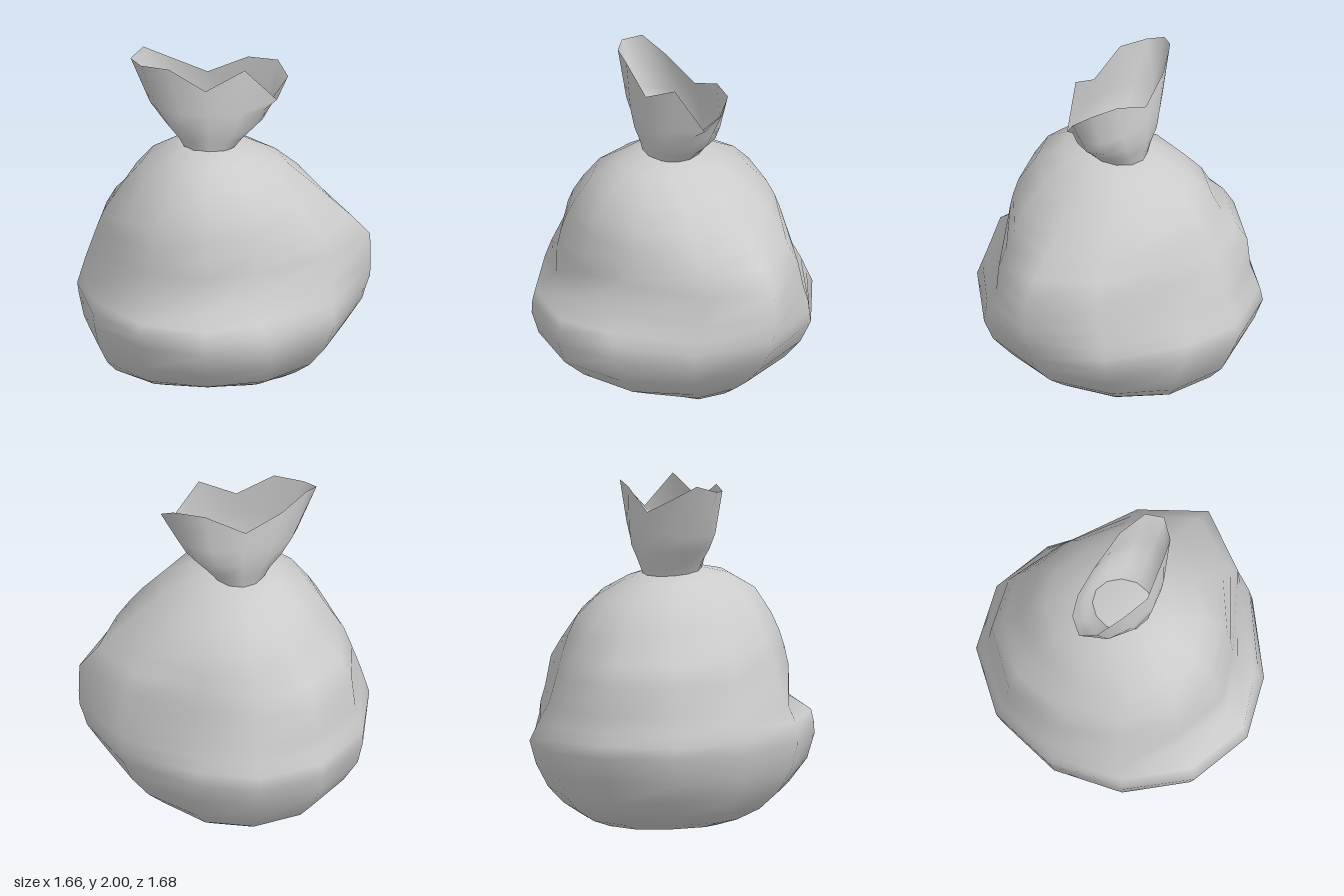
import * as THREE from 'three';

const SIDES = 12;

// Local swells and creases of the cloth: angle (from +x towards +z), spread, y, height, amount
const FOLDS = [
  [135, 38, 0.08, 0.15, 0.14], // heavy low front corner, right
  [45, 35, 0.10, 0.12, 0.08], // heavy low front corner, left
  [45, 30, 0.75, 0.20, -0.03], // slack front side, left
  [110, 16, 0.73, 0.05, -0.10], // crease above the front bulge
  [155, 18, 0.73, 0.06, 0.035], // end of that crease
  [135, 33, 1.34, 0.12, 0.06], // full front shoulder
  [135, 33, 1.09, 0.13, 0.055], // full front side, right
  [225, 30, 0.91, 0.13, 0.10], // roll at the back
  [225, 30, 0.40, 0.20, 0.025], // full low back corner
  [225, 30, 1.13, 0.06, -0.05], // crease above the roll
  [315, 30, 1.10, 0.20, -0.05], // slack back side
  [315, 30, 1.38, 0.10, -0.06], // slack back shoulder
];

function foldScale(deg, y) {
  let f = 1;
  for (const [a, spread, h, height, amount] of FOLDS) {
    f += amount * Math.exp(-(((deg - a) / spread) ** 2) - ((y - h) / height) ** 2);
  }
  return f;
}

// Ring with separate reach to -x, +x, +z and -z; point > 1 sharpens the +x side.
function ring(y, left, right, front, back, cx, point = 1, tilt = 0, scale = () => 1) {
  const pts = [];
  for (let j = 0; j < SIDES; j++) {
    const deg = (j / SIDES) * 360;
    const a = THREE.MathUtils.degToRad(deg);
    const c = Math.cos(a), s = Math.sin(a);
    const f = scale(deg, y);
    const dx = c > 0 ? (right - cx) * Math.pow(c, point) : (cx - left) * c;
    const z = s > 0 ? front * s : -back * s;
    pts.push([cx + dx * f, y + tilt * s, z * f]);
  }
  return pts;
}

// Skin a stack of rings from bottom to top, with optional end caps.
function loft(rings, capBottom, capTop) {
  const pos = rings.flat(2);
  const idx = [];
  for (let i = 0; i < rings.length - 1; i++) {
    for (let j = 0; j < SIDES; j++) {
      const k = (j + 1) % SIDES;
      const a = i * SIDES + j, b = i * SIDES + k;
      const c = a + SIDES, d = b + SIDES;
      idx.push(a, c, b, b, c, d);
    }
  }
  const cap = (i, point, up) => {
    const o = pos.length / 3;
    pos.push(...point);
    for (let j = 0; j < SIDES; j++) {
      const a = i * SIDES + j, b = i * SIDES + (j + 1) % SIDES;
      idx.push(o, ...(up ? [b, a] : [a, b]));
    }
  };
  if (capBottom) cap(0, capBottom, false);
  if (capTop) cap(rings.length - 1, capTop, true);
  const geo = new THREE.BufferGeometry();
  geo.setAttribute('position', new THREE.Float32BufferAttribute(pos, 3));
  geo.setIndex(idx);
  geo.computeVertexNormals();
  return geo;
}

export function createModel() {
  const group = new THREE.Group();
  const add = (name, geo, side) => {
    const mesh = new THREE.Mesh(geo, new THREE.MeshStandardMaterial({ color: 0xcccccc, side }));
    mesh.name = name;
    group.add(mesh);
  };

  // Sagging sack body: y, -x, +x, +z, -z
  const profile = [
    [0.03, -0.40, 0.20, 0.18, -0.42],
    [0.07, -0.51, 0.37, 0.29, -0.53],
    [0.14, -0.63, 0.46, 0.44, -0.64],
    [0.23, -0.71, 0.57, 0.64, -0.72],
    [0.36, -0.79, 0.69, 0.79, -0.78],
    [0.50, -0.82, 0.78, 0.84, -0.84],
    [0.57, -0.83, 0.80, 0.83, -0.82],
    [0.64, -0.81, 0.825, 0.82, -0.80],
    [0.73, -0.78, 0.83, 0.72, -0.76],
    [0.90, -0.72, 0.825, 0.67, -0.70],
    [1.01, -0.68, 0.72, 0.63, -0.66],
    [1.10, -0.63, 0.62, 0.60, -0.62],
    [1.20, -0.57, 0.51, 0.57, -0.56],
    [1.33, -0.46, 0.36, 0.48, -0.45],
    [1.42, -0.33, 0.19, 0.34, -0.29],
    [1.46, -0.23, 0.06, 0.17, -0.17],
  ];
  const body = profile.map(([y, l, r, f, b]) => {
    const bulge = Math.exp(-Math.pow((y - 0.8) / 0.28, 2));
    return ring(y, l, r, f, b, -0.08, 1 + 0.85 * bulge, y > 1.3 ? 0.015 : 0, foldScale);
  });
  add('sackBody', loft(body, [-0.12, 0, -0.14], [-0.08, 1.46, 0]), THREE.FrontSide);

  // Open gathered mouth flaring above the tie, with an uneven rim
  const rim = [
    [0.36, 1.87, 0], [0.30, 1.76, 0.08], [0.12, 1.97, 0.15],
    [-0.10, 1.85, 0.18], [-0.31, 1.97, 0.15], [-0.47, 1.96, 0.08],
    [-0.53, 1.97, 0], [-0.46, 2.0, -0.09], [-0.31, 1.91, -0.15],
    [-0.10, 1.81, -0.18], [0.13, 1.92, -0.15], [0.30, 1.93, -0.09],
  ];
  const mouth = [
    ring(1.44, -0.23, 0.06, 0.17, -0.17, -0.085),
    ring(1.52, -0.28, 0.13, 0.18, -0.185, -0.08),
    ring(1.60, -0.35, 0.215, 0.195, -0.2, -0.08),
    ring(1.70, -0.42, 0.27, 0.195, -0.195, -0.08),
    rim,
  ];
  add('sackMouth', loft(mouth), THREE.DoubleSide);

  return group;
}
